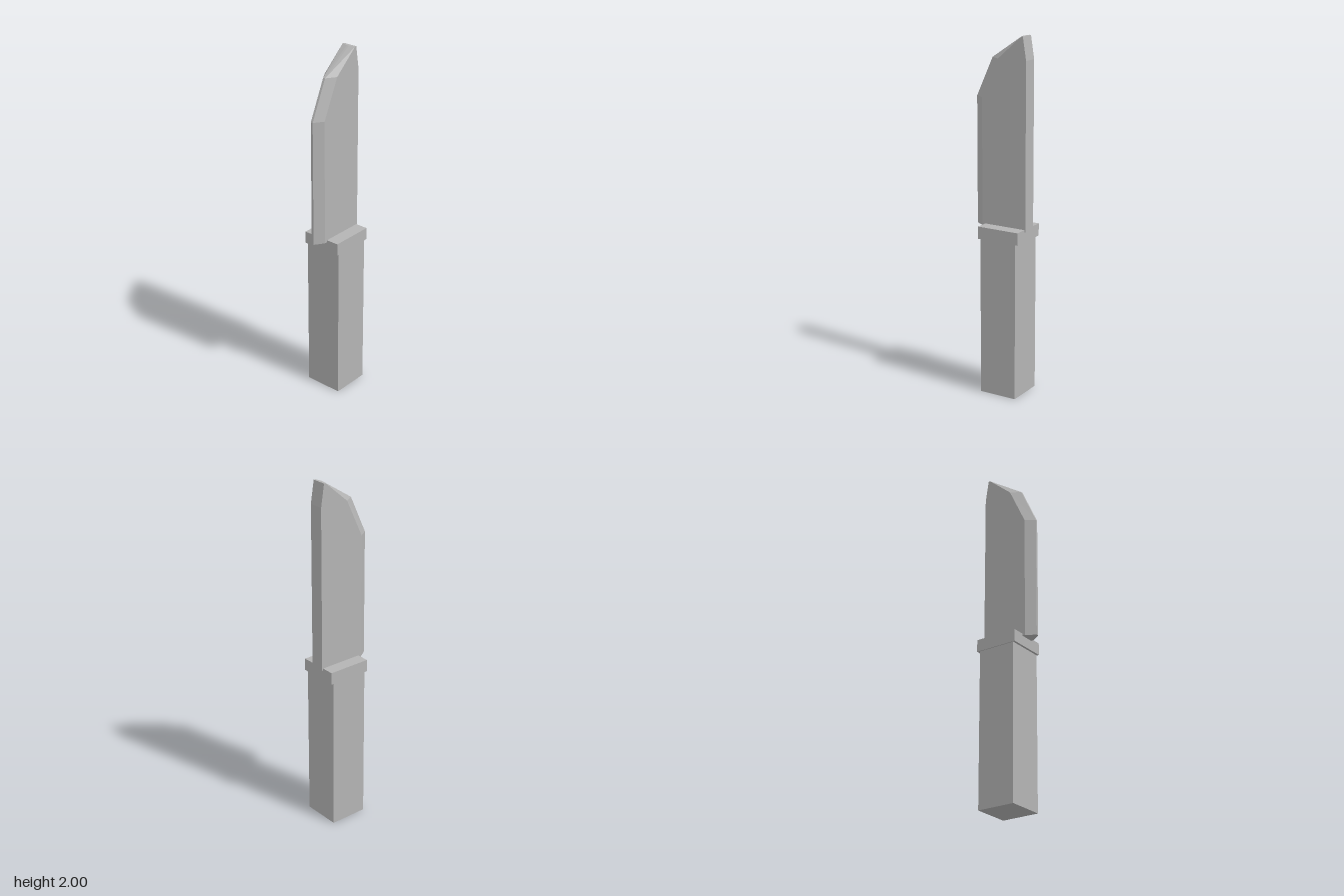
import * as THREE from 'three';

const steel = new THREE.MeshStandardMaterial({ color: 0xb4b4b4 });
steel.name = 'plain grey';

// Box given by its lower and upper corners
function block(name, [x0, y0, z0], [x1, y1, z1]) {
  const geometry = new THREE.BoxGeometry(x1 - x0, y1 - y0, z1 - z0);
  geometry.translate((x0 + x1) / 2, (y0 + y1) / 2, (z0 + z1) / 2);
  const mesh = new THREE.Mesh(geometry, steel);
  mesh.name = name;
  return mesh;
}

// Six-sided blade sections: height, cutting edge x, bevel x, spine x
function blade() {
  const sections = [
    [0.95, -0.163, -0.11, 0.162],
    [1.66, -0.163, -0.11, 0.162],
    [1.875, -0.065, -0.01, 0.162],
    [2.0, 0.124, 0.132, 0.142],
  ];
  const mid = -0.0015, thick = 0.0415, thin = 0.0065;
  const positions = [];
  for (const [y, edge, bevel, spine] of sections) {
    positions.push(
      edge, y, mid + thin, bevel, y, mid + thick, spine, y, mid + thick,
      spine, y, mid - thick, bevel, y, mid - thick, edge, y, mid - thin);
  }

  const index = [];
  const last = (sections.length - 1) * 6;
  for (let ring = 0; ring < last; ring += 6) {
    for (let i = 0; i < 6; i++) {
      const a = ring + i, b = ring + (i + 1) % 6, c = b + 6, d = a + 6;
      // Diagonals mirror between the front and back bevels
      if (i < 3) index.push(a, b, c, a, c, d);
      else index.push(a, b, d, b, c, d);
    }
  }
  // End caps
  for (let i = 1; i < 5; i++) {
    index.push(0, i + 1, i, last, last + i, last + i + 1);
  }

  let geometry = new THREE.BufferGeometry();
  geometry.setAttribute('position', new THREE.Float32BufferAttribute(positions, 3));
  geometry.setIndex(index);
  geometry = geometry.toNonIndexed();
  geometry.computeVertexNormals();
  const mesh = new THREE.Mesh(geometry, steel);
  mesh.name = 'blade';
  return mesh;
}

export function createModel() {
  const knife = new THREE.Group();
  knife.name = 'knife';
  knife.add(
    block('handle', [-0.08, 0, -0.11], [0.14, 0.9, 0.11]),
    block('guard', [-0.093, 0.893, -0.115], [0.156, 0.962, 0.113]),
    blade());
  return knife;
}
